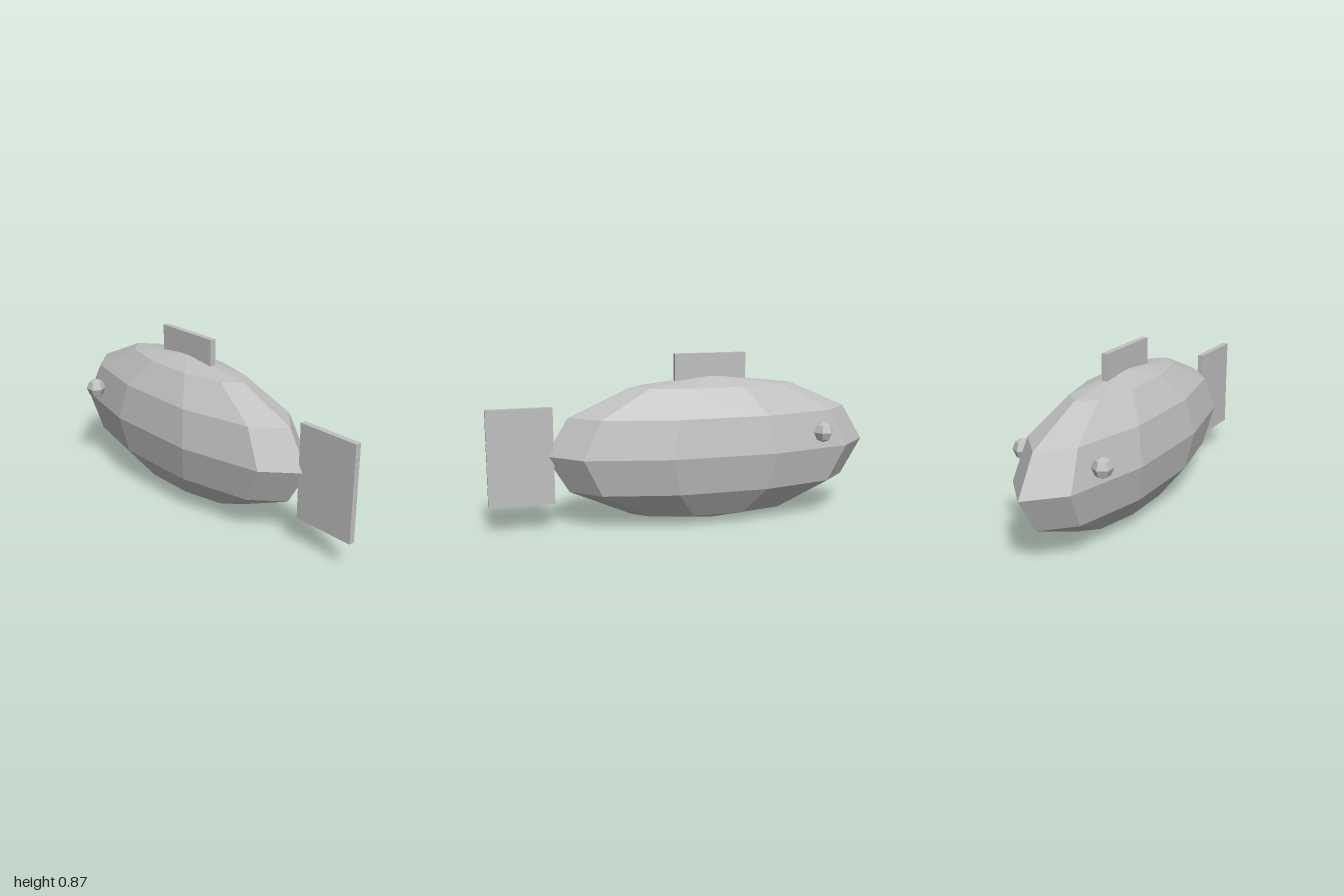
import * as THREE from 'three';

export function createModel() {
  const model = new THREE.Group();
  const grey = new THREE.MeshStandardMaterial({ color: 0xbfbfbf, flatShading: true });
  grey.name = 'light grey';

  const add = (name, geometry, x, y, z) => {
    const mesh = new THREE.Mesh(geometry, grey);
    mesh.name = name;
    mesh.position.set(x, y, z);
    model.add(mesh);
  };

  // Low-poly ball with a column of corners facing front and back
  const ball = (rx, ry, rz, sides, rings) =>
    new THREE.SphereGeometry(1, sides, rings).rotateY(Math.PI / 2).scale(rx, ry, rz);

  // Long, narrow body
  add('body', ball(0.27, 0.377, 0.8575, 10, 6), 0, 0.378, -0.1425);

  // Eyes on both flanks near the head
  for (const side of [-1, 1]) {
    add(side > 0 ? 'leftEye' : 'rightEye', ball(0.052, 0.052, 0.052, 6, 4), side * 0.218, 0.467, -0.675);
  }

  // Thin slab fins
  add('dorsalFin', new THREE.BoxGeometry(0.03, 0.187, 0.375), 0, 0.7735, -0.1325);
  add('tailFin', new THREE.BoxGeometry(0.03, 0.485, 0.325), 0, 0.38, 0.8375);

  return model;
}
